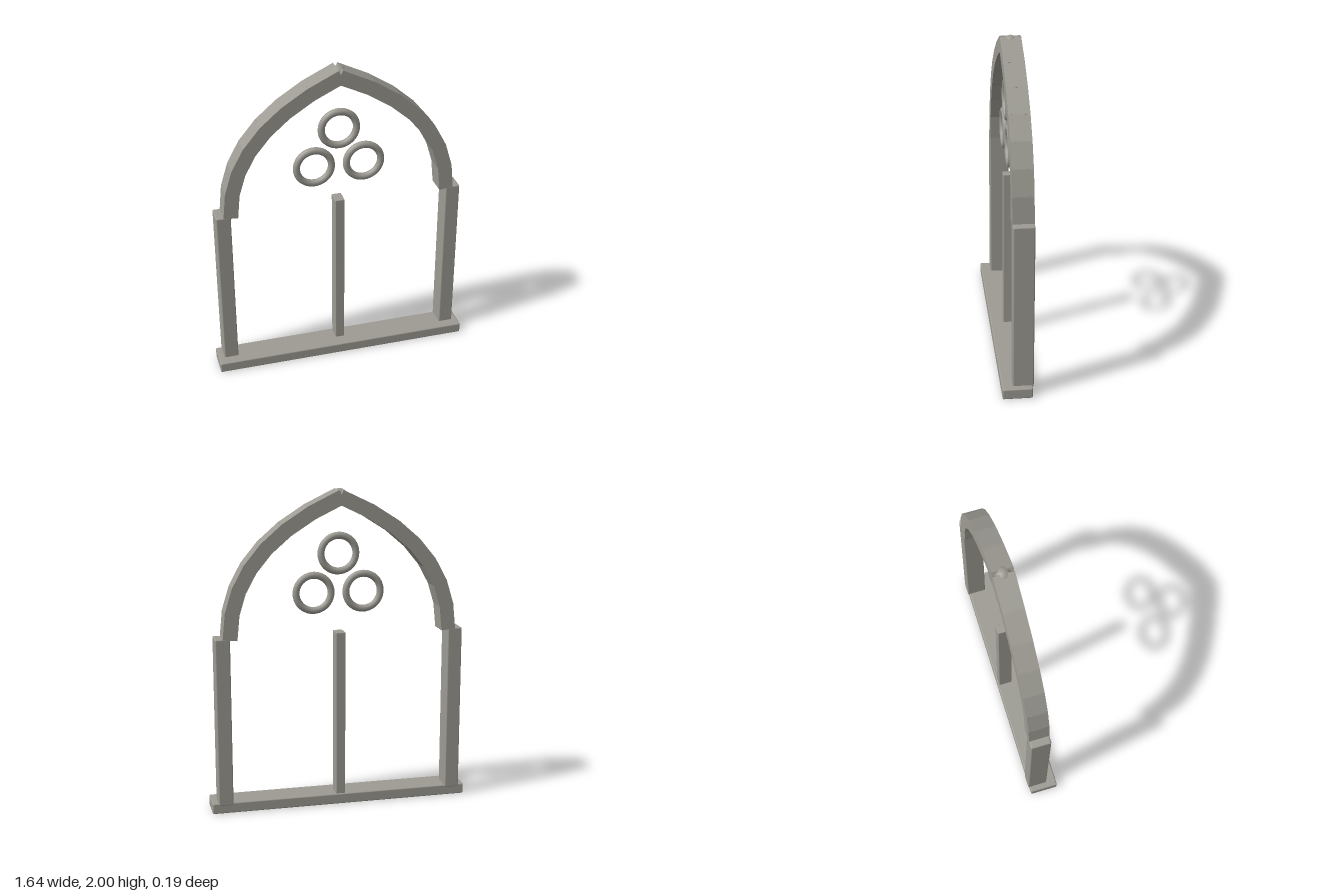
import * as THREE from 'three';
import { RoundedBoxGeometry } from 'three/addons/geometries/RoundedBoxGeometry.js';

const stone = new THREE.MeshStandardMaterial({ color: 0x9d9b93 });
const FRAME_Z = -0.033; // middle plane of the frame
const DEPTH = 0.127;

function add(group, name, geometry, x, y, z) {
  const mesh = new THREE.Mesh(geometry, stone);
  mesh.name = name;
  mesh.position.set(x, y, z);
  group.add(mesh);
  return mesh;
}

// Half of the pointed arch: straight blocks laid along a curve, ends overlapping
function archHalf(side, name) {
  const half = new THREE.Group();
  half.name = name;
  const points = new THREE.QuadraticBezierCurve(
    new THREE.Vector2(side * 0.69, 1.112),
    new THREE.Vector2(side * 0.685, 1.66),
    new THREE.Vector2(0, 1.95)).getPoints(7);
  for (let i = 0; i < 7; i++) {
    const a = points[i], b = points[i + 1];
    const block = add(half, 'archBlock',
      new THREE.BoxGeometry(0.09, a.distanceTo(b) + 0.014, DEPTH),
      (a.x + b.x) / 2, (a.y + b.y) / 2, FRAME_Z);
    block.rotation.z = Math.atan2(a.x - b.x, b.y - a.y);
  }
  return half;
}

export function createModel() {
  const group = new THREE.Group();
  group.name = 'archedWindowFrame';

  // Sill and centre mullion
  add(group, 'sill', new RoundedBoxGeometry(1.64, 0.067, 0.182, 2, 0.008), 0, 0.0335, 0.004);
  add(group, 'mullion', new RoundedBoxGeometry(0.06, 1.06, 0.09, 2, 0.005), 0, 0.586, FRAME_Z);

  // Jambs and arch halves
  for (const [side, label] of [[1, 'left'], [-1, 'right']]) {
    add(group, label + 'Jamb', new RoundedBoxGeometry(0.092, 1.06, DEPTH, 2, 0.008),
      side * 0.736, 0.583, FRAME_Z);
    group.add(archHalf(side, label + 'Arch'));
  }

  // Small boss filling the notch at the apex
  add(group, 'apexBoss', new THREE.SphereGeometry(0.05, 16, 12), 0, 1.95, FRAME_Z);

  // Trefoil of tracery rings
  const ring = new THREE.TorusGeometry(0.11, 0.022, 12, 40);
  for (const [x, y, name] of [[0, 1.601, 'top'], [0.157, 1.36, 'left'], [-0.157, 1.36, 'right']]) {
    add(group, name + 'TraceryRing', ring, x, y, -0.014);
  }
  return group;
}
